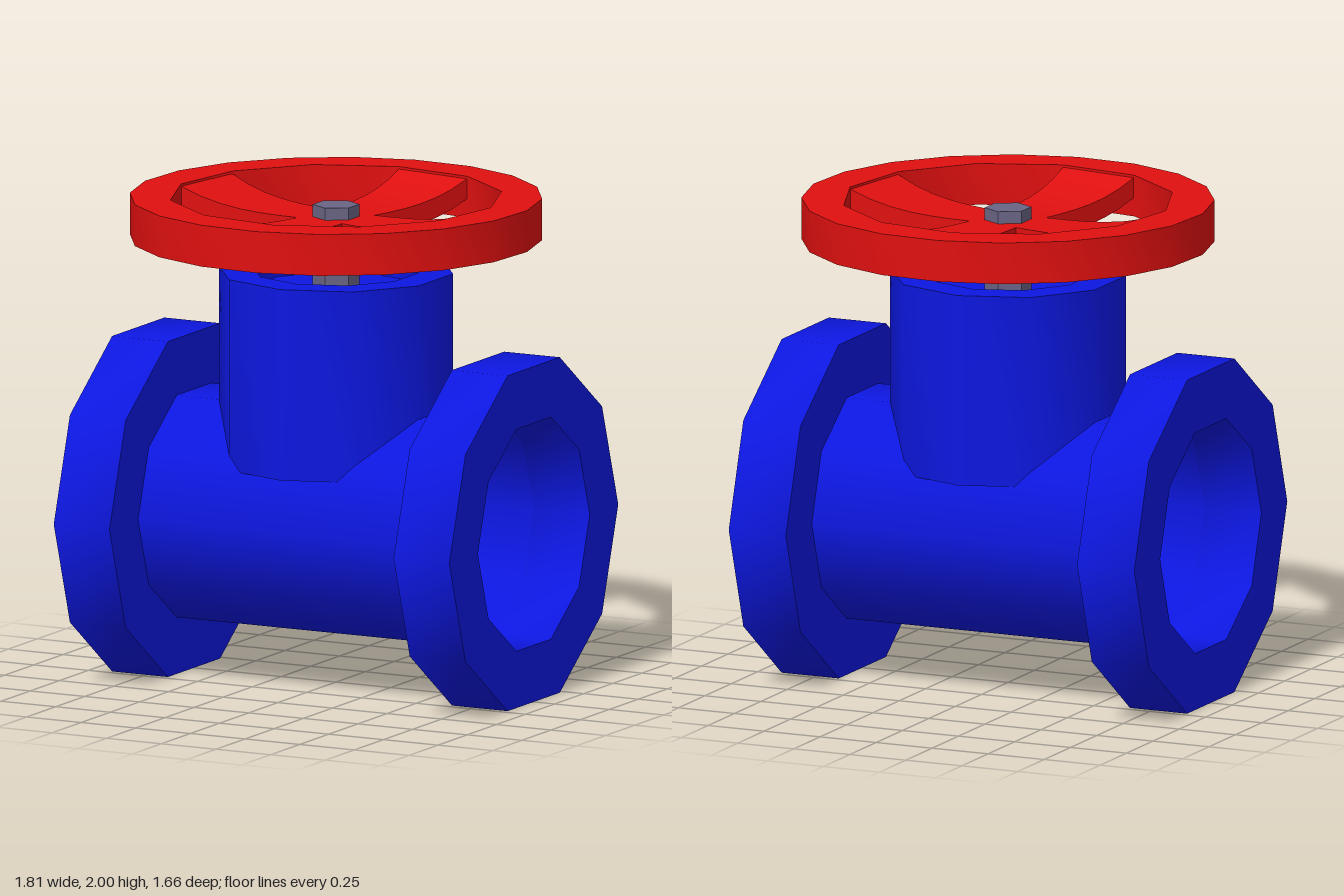
import * as THREE from 'three';
import { toCreasedNormals } from 'three/addons/utils/BufferGeometryUtils.js';

const CREASE = 0.75;
const AXIS_Y = 0.69; // height of the pipe's centre line
const blue = new THREE.MeshStandardMaterial({ color: 0x0d17e0, side: THREE.DoubleSide });
const red = new THREE.MeshStandardMaterial({ color: 0xe01010, side: THREE.DoubleSide });
const grey = new THREE.MeshStandardMaterial({ color: 0x6a6484 });

// Corners of a regular polygon
function polygon(radius, sides, start = 0) {
  return Array.from({ length: sides }, (_, i) => {
    const a = start + (i / sides) * Math.PI * 2;
    return new THREE.Vector2(radius * Math.cos(a), radius * Math.sin(a));
  });
}

// Flat ring with a polygonal hole, extruded along z
function ring(outer, inner, depth) {
  const shape = new THREE.Shape(outer);
  shape.holes.push(new THREE.Path(inner));
  const geo = new THREE.ExtrudeGeometry(shape, { depth, bevelEnabled: false });
  return geo;
}

function part(name, geometry, material) {
  const mesh = new THREE.Mesh(geometry, material);
  mesh.name = name;
  return mesh;
}

// Spoke along +x: a box bent so that it dips from the rim down to the hub
function spokeGeometry() {
  const geo = new THREE.BoxGeometry(1, 1, 1, 6, 1, 2);
  const pos = geo.attributes.position;
  const mix = THREE.MathUtils.lerp;
  for (let i = 0; i < pos.count; i++) {
    const s = pos.getX(i) + 0.5; // 0 at hub, 1 at rim
    const w = pos.getZ(i) + 0.5; // 0 and 1 are the two sides
    const x = mix(mix(0.12, 0.09, w), mix(0.67, 0.62, w), s);
    const z = mix(mix(-0.095, 0.125, w), mix(-0.07, 0.27, w), s);
    const rise = 0.075 * s * s * s;
    const y = pos.getY(i) > 0 ? 1.915 + rise : 1.832 + rise;
    pos.setXYZ(i, x, y, z);
  }
  geo.computeVertexNormals();
  return geo;
}

export function createModel() {
  const model = new THREE.Group();
  model.name = 'gateValve';

  // Open ten-sided pipe along x
  const pipe = new THREE.CylinderGeometry(0.48, 0.48, 1.3, 10, 1, true).rotateZ(Math.PI / 2);
  pipe.translate(0, AXIS_Y, 0);
  model.add(part('pipe', pipe, blue));

  // Flanges at both ends
  for (const side of [1, -1]) {
    const geo = ring(polygon(0.725, 10), polygon(0.48, 10), 0.255);
    geo.rotateY(Math.PI / 2).translate(side > 0 ? 0.65 : -0.905, AXIS_Y, 0);
    model.add(part(side > 0 ? 'leftFlange' : 'rightFlange', toCreasedNormals(geo, CREASE), blue));
  }

  // Upright bonnet with a recessed top
  const profile = [[0, 0.91], [0.48, 0.91], [0.48, 1.695], [0.34, 1.695], [0.34, 1.62], [0, 1.62]]
    .map(([r, y]) => new THREE.Vector2(r, y));
  const bonnet = new THREE.LatheGeometry(profile, 10);
  model.add(part('bonnet', toCreasedNormals(bonnet, CREASE), blue));

  // Hexagonal stem passing through the hub
  const stem = new THREE.CylinderGeometry(0.095, 0.095, 0.36, 6).translate(0, 1.785, 0);
  model.add(part('stem', toCreasedNormals(stem, CREASE), grey));

  // Hand wheel: rim, hub and four spokes
  const wheel = new THREE.Group();
  wheel.name = 'handWheel';
  const rim = ring(polygon(0.835, 20, 0.096), polygon(0.675, 12, 0.105), 0.17);
  rim.rotateX(-Math.PI / 2).translate(0, 1.83, 0);
  wheel.add(part('rim', toCreasedNormals(rim, CREASE), red));

  const hub = new THREE.ExtrudeGeometry(new THREE.Shape(polygon(0.153, 4, 0.67)),
    { depth: 0.083, bevelEnabled: false });
  hub.rotateX(-Math.PI / 2).translate(0, 1.832, 0);
  wheel.add(part('hub', hub, red));

  const spoke = spokeGeometry();
  for (let i = 0; i < 4; i++) {
    const mesh = part('spoke', spoke, red);
    mesh.rotation.y = (i * Math.PI) / 2;
    wheel.add(mesh);
  }
  model.add(wheel);
  return model;
}
